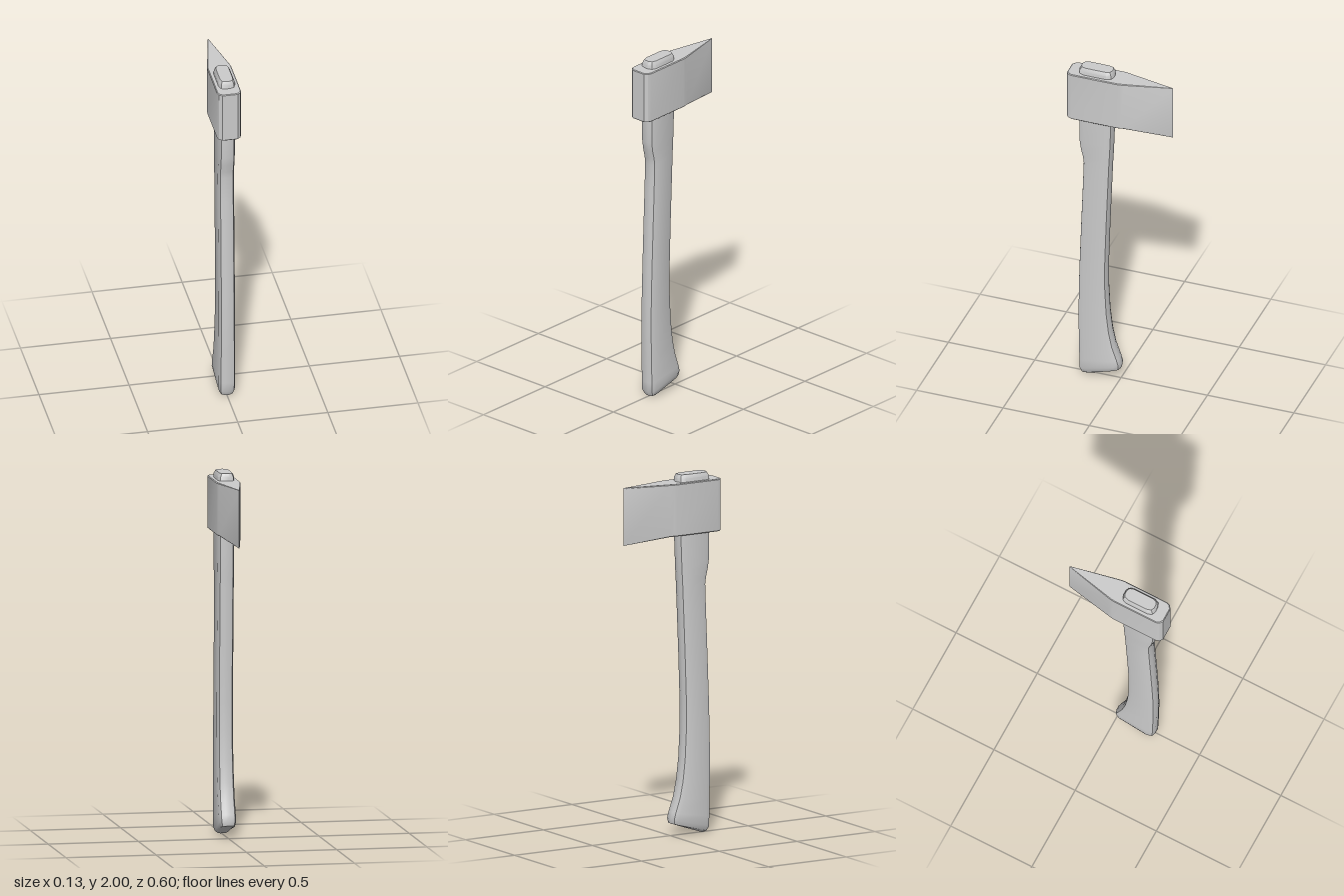
import * as THREE from 'three';
import { toCreasedNormals } from 'three/addons/utils/BufferGeometryUtils.js';

// Mirrors a half outline (x >= 0, back to front) into a closed ring
function ring(half) {
  const left = half.map(([x, y, z]) => [-x, y, z]).reverse();
  return [...half, ...left];
}

// Skins rings from bottom to top and caps both ends with strips across x
function loft(rings, crease) {
  const pos = [];
  const quad = (a, b, c, d) => pos.push(...a, ...b, ...c, ...a, ...c, ...d);
  const n = rings[0].length;
  for (let i = 0; i < rings.length - 1; i++) {
    const a = rings[i], b = rings[i + 1];
    for (let j = 0; j < n; j++) {
      const k = (j + 1) % n;
      quad(a[k], a[j], b[j], b[k]);
    }
  }
  const low = rings[0], top = rings[rings.length - 1];
  for (let j = 0; j < n / 2 - 1; j++) {
    const m = n - 1 - j;
    quad(top[j], top[m], top[m - 1], top[j + 1]);
    quad(low[j], low[j + 1], low[m - 1], low[m]);
  }
  const geo = new THREE.BufferGeometry();
  geo.setAttribute('position', new THREE.Float32BufferAttribute(pos, 3));
  return toCreasedNormals(geo, crease);
}

// Handle: each row is back z, back y, front z, front y, width scale
function handleGeometry() {
  const rows = [
    [0.012, 0.064, 0.2, 0.0, 0.6],
    [-0.001, 0.069, 0.222, 0.008, 0.88],
    [-0.005, 0.095, 0.235, 0.035, 1.05],
    [0.005, 0.13, 0.236, 0.09, 1.05],
    [0.033, 0.21, 0.238, 0.19, 1.04],
    [0.052, 0.3, 0.24, 0.29, 1.03],
    [0.066, 0.42, 0.241, 0.42, 1.01],
    [0.074, 0.58, 0.239, 0.58, 1],
    [0.074, 0.75, 0.234, 0.75, 1],
    [0.066, 1.0, 0.225, 1.0, 1],
    [0.057, 1.23, 0.216, 1.23, 1],
    [0.051, 1.38, 0.211, 1.38, 1],
    [0.049, 1.42, 0.216, 1.42, 1],
    [0.046, 1.47, 0.228, 1.47, 1],
    [0.044, 1.52, 0.235, 1.52, 1],
    [0.038, 1.68, 0.235, 1.68, 1],
    [0.038, 1.98, 0.235, 1.98, 1],
    [0.047, 2.0, 0.225, 2.0, 0.78],
  ];
  // Rounded section: half width and inset from the nearest end
  const corner = [[0.0125, 0], [0.035, 0.008], [0.045, 0.033]];
  return loft(rows.map(([zb, yb, zf, yf, w]) => {
    const at = (x, d, fromFront) => {
      const t = d / (zf - zb), u = fromFront ? 1 - t : t;
      return [x * w, yb + (yf - yb) * u, zb + (zf - zb) * u];
    };
    return ring([
      ...corner.map(([x, d]) => at(x, d, false)),
      ...corner.slice().reverse().map(([x, d]) => at(x, d, true)),
    ]);
  }), 0.6);
}

// Head: wedge plan with a fine bevel; the lower edge drops toward the bit
function headGeometry() {
  const plan = [
    [0.002, -0.3], [0.06, -0.035], [0.0645, -0.012], [0.066, 0.003],
    [0.066, 0.265], [0.059, 0.285], [0.042, 0.298],
  ];
  const bevel = 0.004;
  const level = (y, drop, inset) => ring(plan.map(([x, z]) => {
    const fall = drop * Math.max(0, (-0.035 - z) / 0.265);
    const zIn = z > 0.28 ? z - inset : z;
    return [Math.max(0.001, x - inset), y - fall, zIn];
  }));
  return loft([
    level(1.67, 0.03, bevel),
    level(1.67 + bevel, 0.03, 0),
    level(1.96 - bevel, 0, 0),
    level(1.96, 0, bevel),
  ], 0.45);
}

export function createModel() {
  const group = new THREE.Group();
  group.name = 'axe';
  const material = new THREE.MeshStandardMaterial({ color: 0xcccccc });
  const add = (name, geometry) => {
    const mesh = new THREE.Mesh(geometry, material);
    mesh.name = name;
    group.add(mesh);
  };
  add('handle', handleGeometry());
  add('axeHead', headGeometry());
  return group;
}
